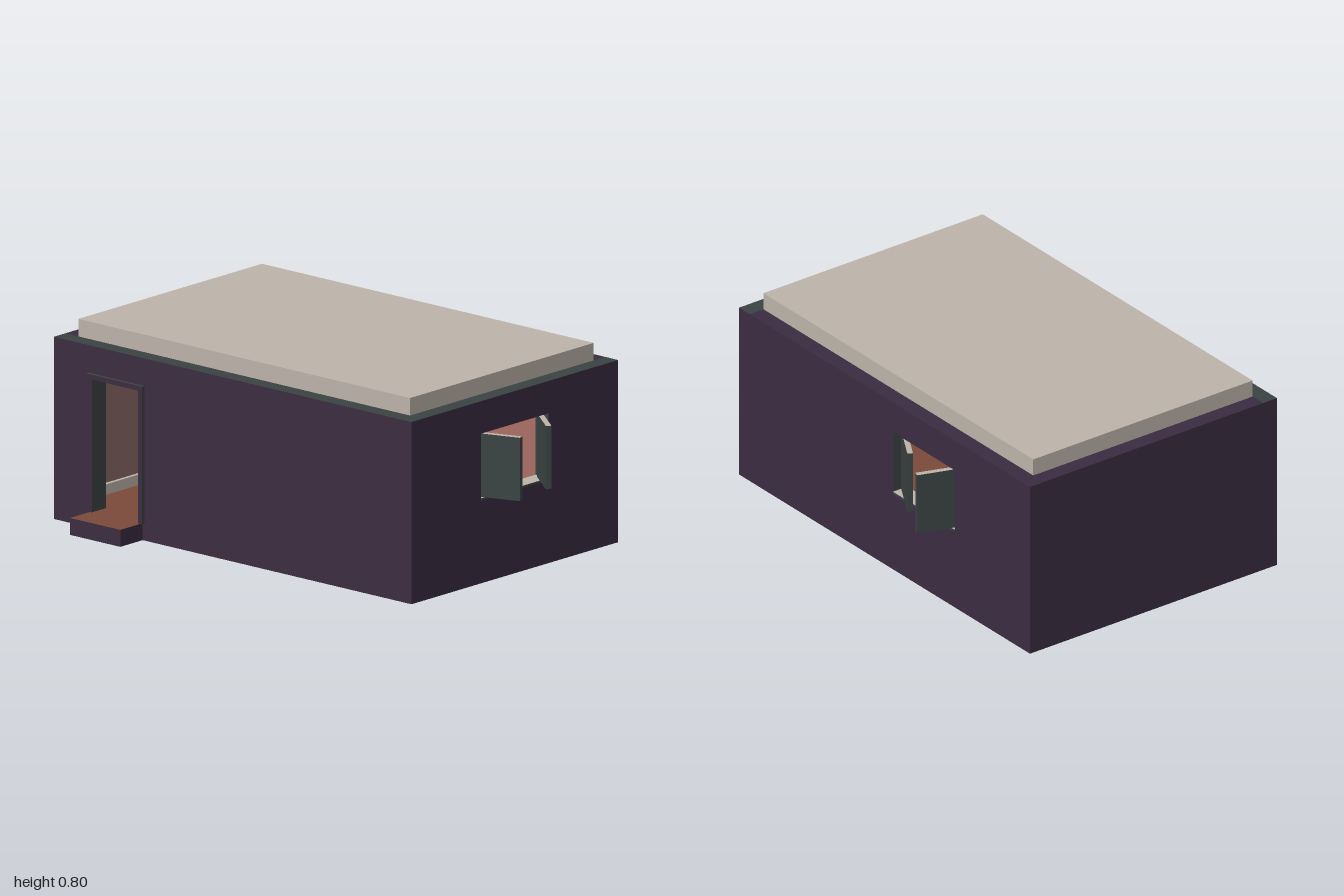
import * as THREE from 'three';

const mat = (name, color) => Object.assign(new THREE.MeshStandardMaterial({ color }), { name });

export function createModel() {
  const house = new THREE.Group();
  house.name = 'house';
  const plum = mat('plum plaster', 0x3b2c41);
  const green = mat('dark green trim', 0x3a4242);
  const beige = mat('beige stone', 0xbcb3a9);
  const brown = mat('brown floor', 0x7b4a3a);
  const salmon = mat('salmon plaster', 0xaa6f64);
  const mauve = mat('mauve plaster', 0x8a6866);

  // Gives every triangle a material from its normal and centre
  function add(name, geometry, rule, parent = house) {
    const g = geometry.index ? geometry.toNonIndexed() : geometry;
    g.clearGroups();
    const p = g.attributes.position;
    const mats = [];
    const tri = new THREE.Triangle();
    const n = new THREE.Vector3(), c = new THREE.Vector3();
    for (let i = 0; i < p.count; i += 3) {
      tri.setFromAttributeAndIndices(p, i, i + 1, i + 2);
      tri.getNormal(n);
      tri.getMidpoint(c);
      const m = rule(n, c);
      if (!mats.includes(m)) mats.push(m);
      const k = mats.indexOf(m), last = g.groups[g.groups.length - 1];
      if (last && last.materialIndex === k) last.count += 3;
      else g.addGroup(i, 3, k);
    }
    const mesh = new THREE.Mesh(g, mats.length > 1 ? mats : mats[0]);
    mesh.name = name;
    parent.add(mesh);
    return mesh;
  }

  // Box from its minimum and maximum corners
  function box(x0, x1, y0, y1, z0, z1) {
    return new THREE.BoxGeometry(x1 - x0, y1 - y0, z1 - z0)
      .translate((x0 + x1) / 2, (y0 + y1) / 2, (z0 + z1) / 2);
  }

  function rect(Type, u0, u1, v0, v1) {
    return new Type([[u0, v0], [u1, v0], [u1, v1], [u0, v1]].map(([u, v]) => new THREE.Vector2(u, v)));
  }

  const T = 0.067, H = 0.73, FLOOR = 0.068;
  const X0 = -1, X1 = 0.85, Z = 0.6;

  // Wall panel with an optional opening
  function panel(u0, u1, opening) {
    const s = rect(THREE.Shape, u0, u1, 0, H);
    if (opening) s.holes.push(rect(THREE.Path, ...opening));
    return new THREE.ExtrudeGeometry(s, { depth: T, bevelEnabled: false });
  }

  // Wall colours: plum outside, lining inside, trim around the opening
  function wallRule(outward, lining, top, sill) {
    return (n, c) => {
      const d = n.dot(outward);
      if (d > 0.5) return plum;
      if (d < -0.5) return lining;
      if (n.y > 0.5) return c.y > 0.7 ? top : sill;
      if (n.y < -0.5) return plum;
      const atEnd = c.x < X0 + 0.001 || c.x > X1 - 0.001 || Math.abs(c.z) > Z - 0.001;
      return atEnd ? plum : green;
    };
  }

  const V = (x, z) => new THREE.Vector3(x, 0, z);
  const W0 = 0.34, W1 = 0.6, HALF = 0.195, BACK_X = -0.327;

  add('frontWall', panel(X0, X1, [-0.79, -0.55, FLOOR, 0.6]).translate(0, 0, Z - T),
    wallRule(V(0, 1), salmon, green, brown));
  add('backWall', panel(X0, X1 - T, [BACK_X - HALF, BACK_X + HALF, W0, W1]).translate(0, 0, -Z),
    wallRule(V(0, -1), salmon, plum, beige));
  add('rightSideWall', panel(-Z, Z - T, [-HALF, HALF, W0, W1]).rotateY(-Math.PI / 2).translate(X1, 0, 0),
    wallRule(V(1, 0), mauve, green, beige));
  add('leftSideWall', panel(-Z + T, Z - T).rotateY(-Math.PI / 2).translate(X0 + T, 0, 0),
    wallRule(V(-1, 0), mauve, plum, plum));

  // Floor, doorstep and roof slab
  const floorRule = (n) => (n.y > 0.5 ? brown : plum);
  add('floor', box(X0 + T, X1 - T, 0, FLOOR, -Z + T, Z - T), floorRule);
  add('doorstep', box(-0.8, -0.54, 0, FLOOR, Z, 0.73), floorRule);
  add('roofSlab', box(X0 + T, X1 - T, 0.68, 0.8, -Z + T, Z - T), () => beige);

  // Skirting boards inside
  add('backSkirting', box(X0 + T, X1 - T, FLOOR, 0.11, -Z + T, -Z + T + 0.015),
    (n) => (n.y > 0.5 ? beige : green));
  add('sideSkirting', box(X0 + T, X0 + T + 0.015, FLOOR, 0.11, -Z + T + 0.015, Z - T), () => beige);

  // Door surround
  const frame = new THREE.Shape([
    [-0.82, FLOOR], [-0.79, FLOOR], [-0.79, 0.6], [-0.55, 0.6],
    [-0.55, FLOOR], [-0.53, FLOOR], [-0.53, 0.62], [-0.82, 0.62],
  ].map(([x, y]) => new THREE.Vector2(x, y)));
  add('doorFrame', new THREE.ExtrudeGeometry(frame, { depth: 0.015, bevelEnabled: false }).translate(0, 0, Z),
    (n) => (Math.abs(n.z) > 0.5 ? plum : green));

  // Half-open shutters, hinged inside the window reveals
  function shutter(name, x, z, dx, dz) {
    const pivot = new THREE.Group();
    pivot.name = name;
    pivot.position.set(x, 0, z);
    pivot.rotation.y = Math.atan2(-dz, dx);
    add(name + 'Leaf', box(0, 0.19, W0 + 0.004, W1 - 0.002, -0.011, 0.011),
      (n) => (n.y > 0.5 ? beige : green), pivot);
    house.add(pivot);
  }
  shutter('sideShutterFront', 0.815, 0.187, 0.945, -0.32);
  shutter('sideShutterBack', 0.815, -0.183, 0.79, 0.61);
  shutter('backShutterRight', BACK_X - 0.187, -0.555, 0.32, -0.945);
  shutter('backShutterLeft', BACK_X + 0.187, -0.555, -0.86, -0.5);

  // Thin window sills
  const sillRule = (n) => (n.y > 0.5 ? beige : green);
  add('sideSill', box(X1 - T, X1 + 0.003, W0 - 0.008, W0 + 0.002, -HALF, HALF), sillRule);
  add('backSill', box(BACK_X - HALF, BACK_X + HALF, W0 - 0.008, W0 + 0.002, -Z - 0.003, -Z + T), sillRule);

  return house;
}
